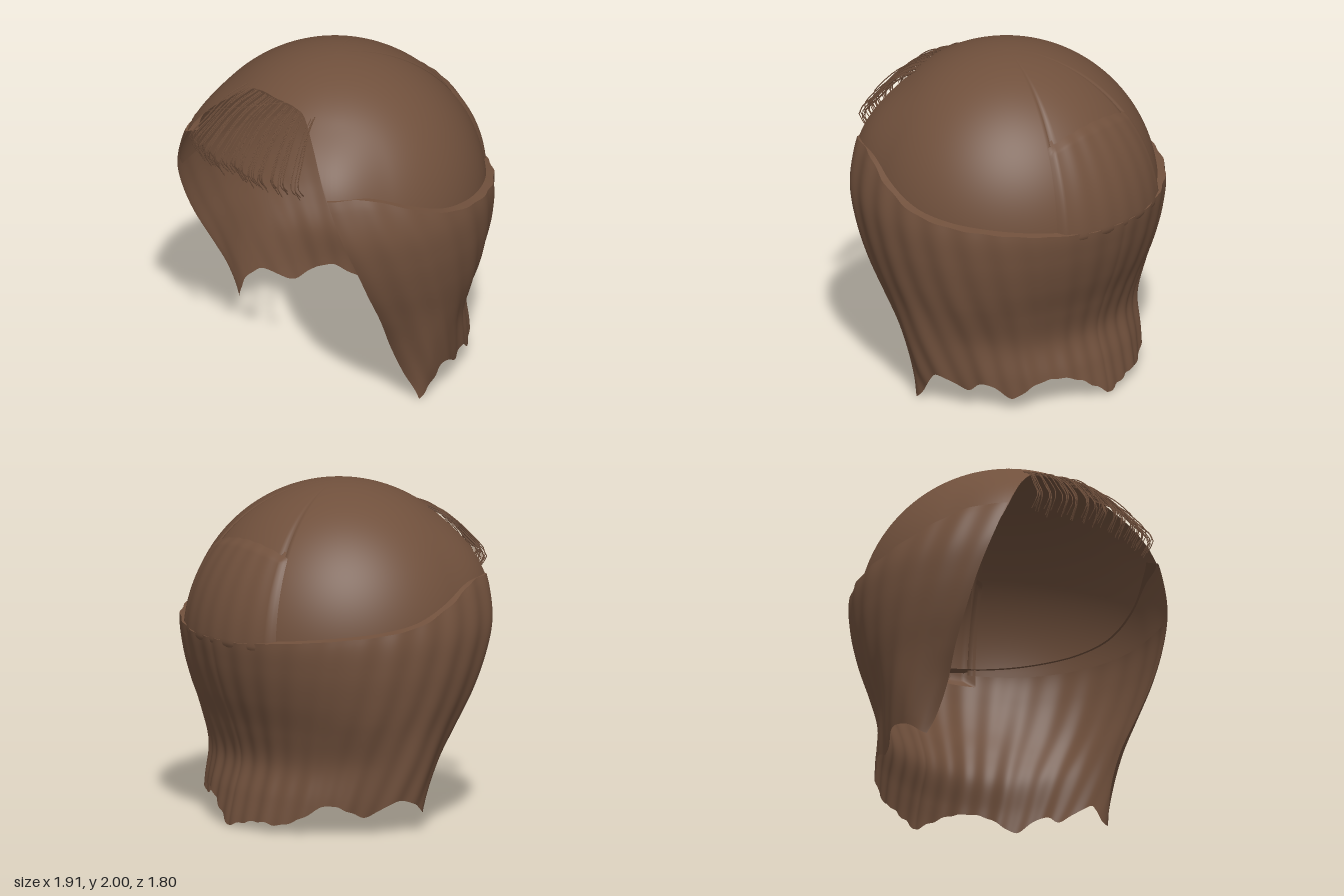
import * as THREE from 'three';
import { mergeGeometries } from 'three/addons/utils/BufferGeometryUtils.js';

const DEG = Math.PI / 180;
const CENTRE = new THREE.Vector3(0, 1.1, 0.03);
const RADIUS = 0.9;
const { lerp, clamp, smoothstep } = THREE.MathUtils;

// Smooth curve through evenly spaced values, t in 0..1
function curve(values, t) {
  const n = values.length - 1;
  const p = clamp(t, 0, 1) * n;
  const i = Math.min(Math.floor(p), n - 1);
  const f = p - i;
  const at = (k) => values[clamp(k, 0, n)];
  const [a, b, c, d] = [at(i - 1), at(i), at(i + 1), at(i + 2)];
  return b + 0.5 * f * (c - a + f * (2 * a - 5 * b + 4 * c - d + f * (3 * (b - c) + d - a)));
}

// Sheet whose points come from fn(u, v), u running round and v running down
function sheet(nu, nv, fn) {
  const geo = new THREE.PlaneGeometry(1, 1, nu, nv);
  const pos = geo.attributes.position;
  const uv = geo.attributes.uv;
  for (let i = 0; i < pos.count; i++) pos.setXYZ(i, ...fn(uv.getX(i), 1 - uv.getY(i)));
  geo.computeVertexNormals();
  return geo;
}

const polar = (az, r, y) => [r * Math.sin(az), y, r * Math.cos(az)];

function onSphere(az, tilt, r) {
  return [
    CENTRE.x + r * Math.sin(tilt) * Math.sin(az),
    CENTRE.y + r * Math.cos(tilt),
    CENTRE.z + r * Math.sin(tilt) * Math.cos(az),
  ];
}

// Curtain profiles, at heights 0, 0.2 ... 1.6
const SIDE = [0.78, 0.82, 0.855, 0.885, 0.925, 0.95, 0.945, 0.88, 0.75];
const BACK = [0.77, 0.73, 0.68, 0.73, 0.81, 0.87, 0.895, 0.83, 0.72];
const FRONT = [0.78, 0.735, 0.75, 0.82, 0.89, 0.94, 0.96, 0.925, 0.86];
const RIM_ANGLE = [85, 78, 71, 65, 59, 54, 49, 44.5, 40];
// Curtain top and ragged hem, from the front rim to the middle of the back
const TOP = [1.46, 1.45, 1.36, 1.27, 1.23, 1.21, 1.19, 1.17, 1.15, 1.15];
const HEM_LEFT = [0, 0.1, 0.2, 0.12, 0.17, 0.08, 0.15, 0.18, 0.16, 0.09, 0.01];
const HEM_RIGHT = [0.1, 0.17, 0.2, 0.11, 0.15, 0.18, 0.1, 0.05, 0.06, 0.04, 0.01];

function curtainPoint(u, v) {
  const t = 2 * u - 1;
  const s = 1 - Math.abs(t);
  const hem = curve(t < 0 ? HEM_LEFT : HEM_RIGHT, s) + 0.006 * Math.sin(s * 75) * s;
  const y = lerp(curve(TOP, s), hem, v);
  const h = y / 1.6;
  const rim = curve(RIM_ANGLE, h) * DEG;
  const a = rim + (Math.PI - rim) * s;
  const side = curve(SIDE, h);
  let r;
  if (a < Math.PI / 2) {
    const k = Math.sin(((a - rim) / (Math.PI / 2 - rim)) * Math.PI / 2);
    r = lerp(curve(FRONT, h), side, k);
  } else {
    r = 1 / Math.hypot(Math.sin(a) / side, Math.cos(a) / curve(BACK, h));
  }
  // Hollow behind each side lock, then soft vertical locks
  r -= 0.03 * Math.exp(-(((a / DEG - 115) / 15) ** 2)) * (1 - smoothstep(y, 0.4, 0.7));
  r += 0.005 * Math.sin(s * 66) + 0.006 * v * Math.sin(s * 33 + 1) * Math.sin(s * Math.PI);
  return polar(t < 0 ? a : 2 * Math.PI - a, r, y);
}

// Small repeatable random numbers
function seeded(seed) {
  return () => {
    seed = (seed * 16807) % 2147483647;
    return seed / 2147483647;
  };
}

export function createModel() {
  const hair = new THREE.MeshStandardMaterial({ color: 0x70503c, side: THREE.DoubleSide });
  hair.name = 'brown hair';
  const model = new THREE.Group();
  model.name = 'hairstyle';
  const add = (name, geo) => {
    const mesh = new THREE.Mesh(geo, hair);
    mesh.name = name;
    model.add(mesh);
  };

  // Crown, cut in an arch over the forehead, swelling at the temples,
  // and open at the back where the raised panel covers it
  const arch = [32, 32, 33, 36.5, 50, 74, 87];
  add('crown', sheet(180, 44, (u, v) => {
    const az = u * 2 * Math.PI;
    const fromFront = Math.min(az, 2 * Math.PI - az) / DEG;
    const limit = fromFront > 153 ? 52 : curve(arch, fromFront / 56);
    const tilt = v * limit;
    const swell = 0.045 * smoothstep(tilt, 38, 68) * (1 - smoothstep(fromFront, 44, 72));
    return onSphere(az, tilt * DEG, RADIUS + swell);
  }));

  // Long hair round the sides and back
  add('curtain', sheet(260, 44, curtainPoint));

  // Ledge closing the top of the curtain against the crown
  add('curtainLedge', sheet(260, 1, (u, v) => {
    const [x, y, z] = curtainPoint(u, 0);
    if (v > 0.5) return [x, y, z];
    const az = Math.atan2(x, z);
    const r = Math.sqrt(RADIUS ** 2 - (y - CENTRE.y) ** 2) + CENTRE.z * Math.cos(az) - 0.015;
    return polar(az, r, y + 0.01);
  }));

  // Raised panel on the back of the crown, its lower lip tucked in
  add('backPanel', sheet(48, 40, (u, v) => {
    const w = 2 * u - 1;
    const az = Math.PI + w * 31 * DEG;
    const tilt = lerp(45 + 6 * w * w, 92, v) * DEG;
    const edge = Math.min(1, (1 - Math.abs(w)) * 8, v * 8, (1 - v) * 12);
    return onSphere(az, tilt, RADIUS - 0.01 + edge * (0.025 + 0.015 * v + 0.002 * Math.sin(u * 40)));
  }));

  // Wispy fringe in small clumps with curled tips
  const rand = seeded(17);
  const wobble = (size) => (rand() - 0.5) * size;
  const strands = [];
  const clumps = 13;
  for (let i = 0; i < clumps; i++) {
    const k = (2 * i) / (clumps - 1) - 1;
    const drop = 0.02 * k * k;
    const back = 0.1 * k * k;
    for (let j = 0; j < 5; j++) {
      const dx = wobble(0.03);
      const dz = wobble(0.05);
      const dy = wobble(0.06);
      const path = new THREE.CatmullRomCurve3([
        new THREE.Vector3(0.28 * k + dx, 1.85 - drop + dy * 0.2, 0.5 - back * 0.4),
        new THREE.Vector3(0.34 * k + dx, 1.78 - drop + dy * 0.3, 0.66 - back * 0.8 + dz * 0.5),
        new THREE.Vector3(0.4 * k + dx, 1.66 - drop, 0.79 - back + dz),
        new THREE.Vector3(0.45 * k + dx, 1.54 - drop + dy * 0.3, 0.87 - back + dz),
        new THREE.Vector3(0.44 * k + dx * 1.5, 1.46 - drop + dy, 0.82 - back + dz),
      ]);
      strands.push(new THREE.TubeGeometry(path, 14, 0.0032, 4));
    }
  }
  add('fringe', mergeGeometries(strands));

  return model;
}
